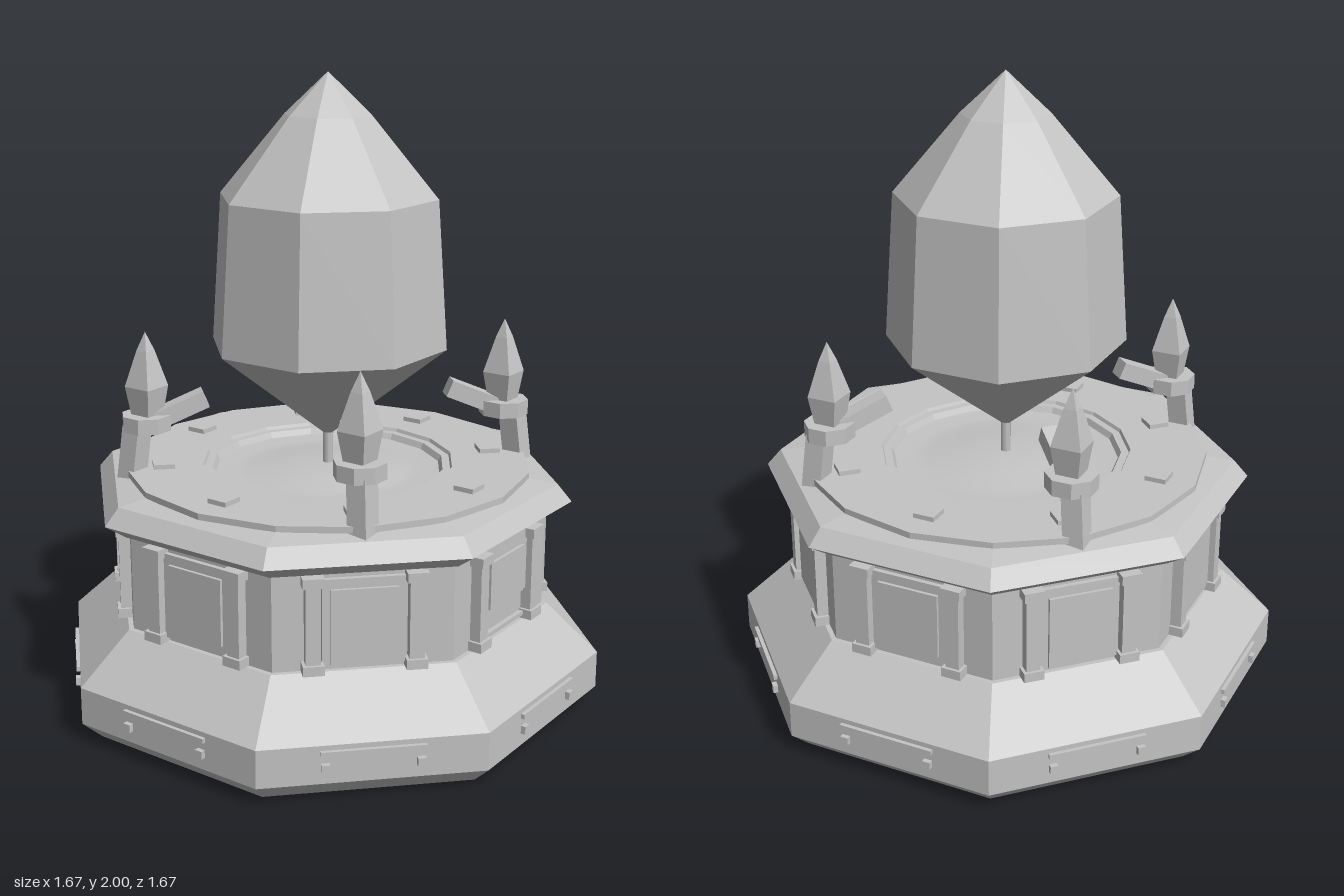
import * as THREE from 'three';

const stone = new THREE.MeshStandardMaterial({ color: 0xc4c4c4 });
stone.name = 'stone grey';

// faceted geometry with hard edges
function faceted(geometry) {
  const g = geometry.index ? geometry.toNonIndexed() : geometry;
  g.computeVertexNormals();
  return g;
}

function add(parent, name, geometry, x = 0, y = 0, z = 0) {
  const mesh = new THREE.Mesh(geometry, stone);
  mesh.name = name;
  mesh.position.set(x, y, z);
  parent.add(mesh);
  return mesh;
}

const box = (parent, name, w, h, d, x, y, z) =>
  add(parent, name, new THREE.BoxGeometry(w, h, d), x, y, z);

// profile of [radius, y], bottom to top
function turned(profile, sides) {
  const points = profile.map(([r, y]) => new THREE.Vector2(r, y));
  return new THREE.LatheGeometry(points, sides);
}

// octagonal solid with a flat side facing front; radii are distances to the flats
function octagon(profile) {
  const k = 1 / Math.cos(Math.PI / 8);
  const g = turned(profile.map(([r, y]) => [r * k, y]), 8);
  return faceted(g.rotateY(Math.PI / 8));
}

// square section solid aligned with the axes; radii are half widths
function squareSpire(profile) {
  const g = turned(profile.map(([r, y]) => [r * Math.SQRT2, y]), 4);
  return faceted(g.rotateY(Math.PI / 4));
}

// wall and plinth trim of one side of the octagon, built facing +z
function createSide(index) {
  const side = new THREE.Group();
  side.name = 'sideTrim';
  for (const s of [-1, 1]) {
    const x = s * 0.153;
    box(side, 'pilasterShaft', 0.045, 0.27, 0.05, x, 0.485, 0.66);
    box(side, 'pilasterFoot', 0.064, 0.03, 0.065, x, 0.35, 0.662);
    box(side, 'pilasterCapital', 0.064, 0.03, 0.065, x, 0.62, 0.662);
    box(side, 'plinthBolt', 0.025, 0.025, 0.03, s * 0.14, 0.112, 0.82);
  }
  box(side, 'plinthStrip', 0.31, 0.015, 0.024, 0, 0.157, 0.82);
  if (index === 0) {
    box(side, 'wallPanel', 0.27, 0.2, 0.02, 0, 0.536, 0.655);
    box(side, 'panelLedge', 0.25, 0.014, 0.02, 0, 0.353, 0.655);
  } else {
    box(side, 'wallPanel', 0.25, 0.27, 0.02, 0, 0.485, 0.655);
  }
  const bottom = [0.44, 0.355, 0.38][index === 0 ? 0 : index % 2 ? 1 : 2];
  box(side, 'raisedPanel', 0.2, 0.59 - bottom, 0.02, 0, (0.59 + bottom) / 2, 0.665);
  side.rotation.y = index * Math.PI / 4;
  return side;
}

// corner post with collar, spire and inward arm, in the +x +z quadrant
function createPost() {
  const post = new THREE.Group();
  post.name = 'cornerPost';
  const shaft = new THREE.BoxGeometry(0.066, 0.18, 0.066);
  const p = shaft.attributes.position;
  for (let i = 0; i < p.count; i++) {
    const lean = p.getY(i) > 0 ? -0.016 : 0;
    p.setX(i, p.getX(i) + lean);
    p.setZ(i, p.getZ(i) + lean);
  }
  add(post, 'postShaft', faceted(shaft), 0.447, 0.82, 0.447);
  add(post, 'postCollar',
    octagon([[0, 0.895], [0.074, 0.895], [0.074, 0.945], [0, 0.945]]), 0.41, 0, 0.41);
  add(post, 'postSpire',
    squareSpire([[0.035, 0.94], [0.048, 1.035], [0.02, 1.15], [0, 1.21]]), 0.408, 0, 0.408);

  // arm rising towards the crystal
  const arm = new THREE.Group();
  arm.name = 'arm';
  arm.position.set(0.34, 0.954, 0.34);
  arm.rotation.y = Math.PI / 4;
  const bar = box(arm, 'armBar', 0.06, 0.056, 0.19, 0, 0, 0);
  bar.rotation.x = 0.4;
  post.add(arm);
  return post;
}

export function createModel() {
  const model = new THREE.Group();
  model.name = 'crystalPedestal';

  // plinth, wall and cornice
  add(model, 'plinth', octagon([[0, 0], [0.76, 0], [0.82, 0.06], [0.82, 0.18], [0.665, 0.335], [0.6, 0.335]]));
  add(model, 'wall', octagon([[0.65, 0.32], [0.65, 0.65]]));
  add(model, 'cornice', octagon([[0.6, 0.637], [0.665, 0.637], [0.727, 0.683], [0.685, 0.737], [0.6, 0.75]]));
  for (let i = 0; i < 8; i++) model.add(createSide(i));

  // top disc with a ring groove around a low dome
  add(model, 'topDisc', faceted(turned(
    [[0.6, 0.748], [0.65, 0.748], [0.65, 0.768], [0.405, 0.768], [0.4, 0.757], [0.375, 0.757], [0.365, 0.738]], 16)));
  add(model, 'dome', turned(
    [[0.37, 0.738], [0.3, 0.734], [0.25, 0.736], [0.16, 0.749], [0.08, 0.756], [0, 0.758]], 32));
  for (let i = 0; i < 8; i++) {
    const a = i * Math.PI / 4;
    const stud = box(model, 'topStud', 0.068, 0.022, 0.068, Math.sin(a) * 0.53, 0.772, Math.cos(a) * 0.53);
    stud.rotation.y = a;
  }

  // four corner posts
  for (let i = 0; i < 4; i++) {
    const post = createPost();
    post.rotation.y = i * Math.PI / 2;
    model.add(post);
  }

  // crystal on its pin
  add(model, 'crystalPin', new THREE.CylinderGeometry(0.017, 0.017, 0.14, 8), 0, 0.8, 0);
  add(model, 'crystal', octagon([[0, 0.845], [0.352, 1.15], [0.322, 1.62], [0.128, 1.87], [0, 2]]));
  return model;
}
